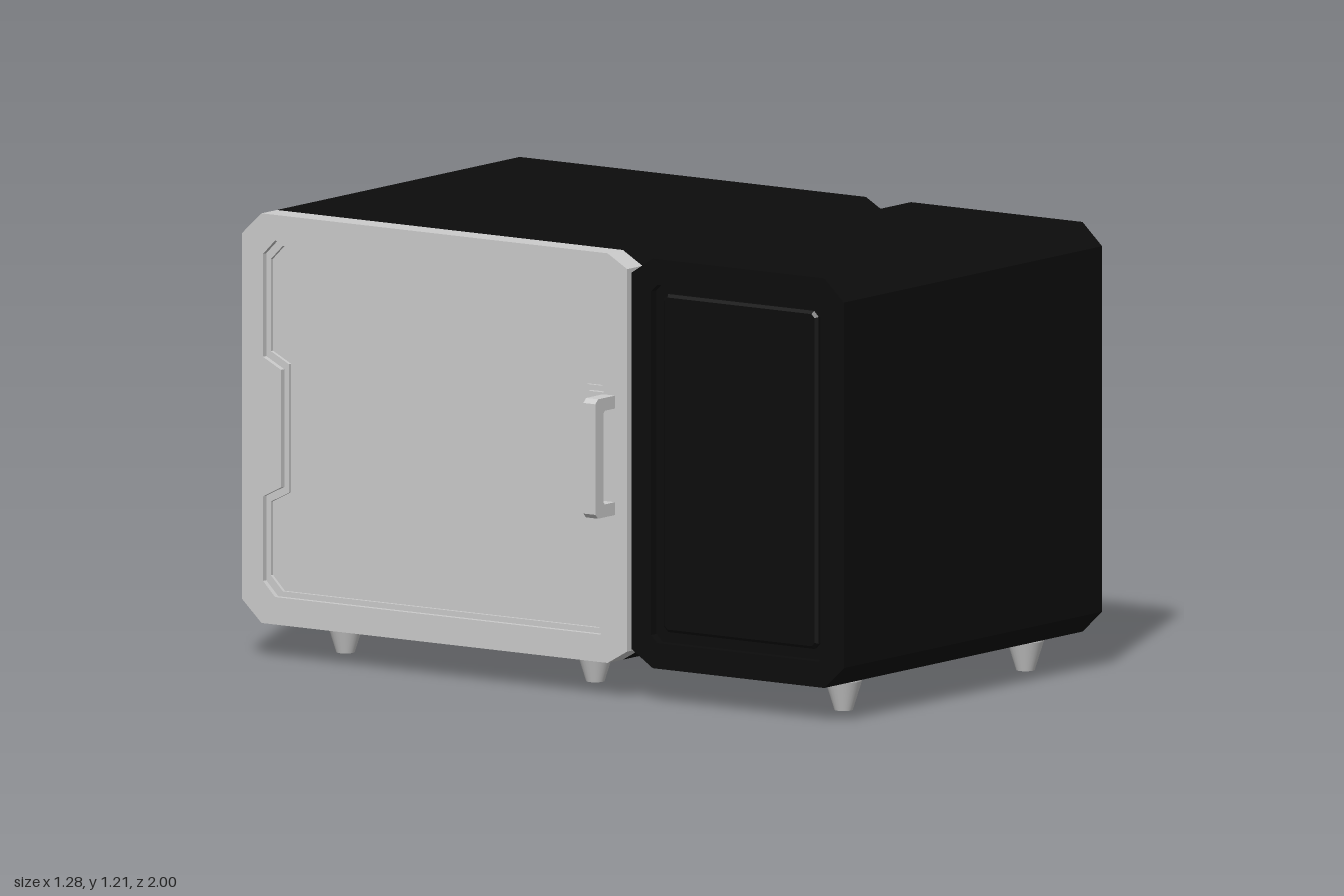
import * as THREE from 'three';

const black = new THREE.MeshStandardMaterial({ color: 0x0c0c0c, flatShading: true });
const grey = new THREE.MeshStandardMaterial({ color: 0xcccccc, flatShading: true });
const smoothGrey = new THREE.MeshStandardMaterial({ color: 0xcccccc });

const LOW = 0.095, HIGH = 1.21;

// Outlines are lists of [z, y]
const toPath = (pts, Type = THREE.Path) => new Type(pts.map(([z, y]) => new THREE.Vector2(z, y)));

const rect = (z0, z1, y0, y1, c = 0) => c === 0
  ? [[z0, y0], [z1, y0], [z1, y1], [z0, y1]]
  : [[z0 + c, y0], [z1 - c, y0], [z1, y0 + c], [z1, y1 - c],
    [z1 - c, y1], [z0 + c, y1], [z0, y1 - c], [z0, y0 + c]];

// Extrude a [z, y] outline along x from x0 to x1, with an optional bevel
function slab(pts, holes, x0, x1, bevel = 0) {
  const shape = toPath(pts, THREE.Shape);
  holes.forEach((h) => shape.holes.push(toPath(h)));
  const geo = new THREE.ExtrudeGeometry(shape, {
    depth: x1 - x0 - 2 * bevel, bevelEnabled: bevel > 0, bevelSize: bevel,
    bevelThickness: bevel, bevelOffset: -bevel, bevelSegments: 1, curveSegments: 4,
  });
  return geo.rotateY(-Math.PI / 2).translate(x1 - bevel, 0, 0);
}

export function createModel() {
  const model = new THREE.Group();
  const add = (name, geo, mat, parent = model) => {
    const mesh = new THREE.Mesh(geo, mat);
    mesh.name = name;
    parent.add(mesh);
    return mesh;
  };
  const group = (name) => {
    const g = new THREE.Group();
    g.name = name;
    model.add(g);
    return g;
  };

  // Side outlines of the two housings, meeting in a V groove
  const frontOutline = [[0.295, 0.14], [0.365, LOW], [0.935, LOW], [1, 0.155],
    [1, 1.15], [0.935, HIGH], [0.365, HIGH], [0.295, 1.165]];
  const rearOutline = [[-1, 0.155], [-0.935, LOW], [0.215, LOW], [0.295, 0.14],
    [0.295, 1.165], [0.215, HIGH], [-0.935, HIGH], [-1, 1.15]];
  const doorOutline = [[-1, 0.155], [-0.935, LOW], [0.215, LOW], [0.28, 0.132],
    [0.28, 1.173], [0.215, HIGH], [-0.935, HIGH], [-1, 1.15]];

  // Front housing with a recessed panel on each side
  const front = group('frontHousing');
  const frontHole = rect(0.36, 0.935, 0.165, 1.14, 0.02);
  const frontPanel = rect(0.39, 0.905, 0.195, 1.115, 0.015);
  add('frontCore', slab(frontOutline, [], -0.525, 0.605), black, front);
  add('frontRimLeft', slab(frontOutline, [frontHole], 0.605, 0.63), black, front);
  add('frontRimRight', slab(frontOutline, [frontHole], -0.55, -0.525), black, front);
  add('frontPanelLeft', slab(frontPanel, [], 0.59, 0.622, 0.008), black, front);
  add('frontPanelRight', slab(frontPanel, [], -0.542, -0.51, 0.008), black, front);

  // Rear housing with a raised, vented panel on its left side
  const rear = group('rearHousing');
  add('rearCore', slab(rearOutline, [], -0.48, 0.605), black, rear);
  add('rearRim', slab(rearOutline, [rect(-0.93, 0.22, 0.165, 1.14, 0.02)], 0.605, 0.63), black, rear);
  const ventZ = [-0.085, -0.26, -0.44, -0.62];
  const ventY = [0.285, 0.355];
  const slots = ventZ.flatMap((z) => ventY.map((y) => rect(z - 0.065, z + 0.065, y - 0.02, y + 0.02)));
  add('rearSidePanel', slab(rect(-0.9, 0.195, 0.19, 1.115, 0.015), slots, 0.595, 0.638, 0.008), black, rear);

  // Grey slats inside the side vents
  const sideVents = group('sideVents');
  for (const z of ventZ) for (const y of ventY) {
    add('sideVentSlat', new THREE.BoxGeometry(0.015, 0.014, 0.11).translate(0.608, y, z), grey, sideVents);
  }

  // Two columns of slats on the back
  const backVents = group('backVents');
  for (const x of [0.455, 0.325]) for (let i = 0; i < 6; i++) {
    add('backVentSlat', new THREE.BoxGeometry(0.09, 0.013, 0.01)
      .translate(x, 0.237 + i * 0.064, -0.998), grey, backVents);
  }

  // Door: slab plus a rim whose opening is notched by the hinge and handle mounts
  const door = group('door');
  const opening = (e) => [
    [-0.89 + e, 0.17 + e], [0.19 - e, 0.17 + e], [0.23 - e, 0.21 + e],
    [0.23 - e, 0.41 - e], [0.2 - e, 0.43 - e], [0.15 - e, 0.43 - e],
    [0.15 - e, 0.83 + e], [0.2 - e, 0.83 + e], [0.23 - e, 0.85 + e],
    [0.23 - e, 1.1 - e], [0.19 - e, 1.14 - e], [-0.89 + e, 1.14 - e], [-0.93 + e, 1.1 - e],
    [-0.93 + e, 0.82 + e], [-0.87 + e, 0.79 + e], [-0.87 + e, 0.47 - e], [-0.93 + e, 0.44 - e],
    [-0.93 + e, 0.21 + e]];
  add('doorSlab', slab(doorOutline, [], -0.525, -0.48), grey, door);
  add('doorRim', slab(doorOutline, [opening(0)], -0.55, -0.525), grey, door);
  add('doorInnerStep', slab(doorOutline.map(([z, y]) => [z * 0.98, 0.65 + (y - 0.65) * 0.98]),
    [opening(0.015)], -0.535, -0.515), grey, door);

  // Handle: a squared loop with chamfered outer corners
  const handle = new THREE.Shape([
    [-0.53, 0.5], [-0.628, 0.5], [-0.64, 0.512], [-0.64, 0.813], [-0.628, 0.825], [-0.53, 0.825],
    [-0.53, 0.79], [-0.597, 0.79], [-0.604, 0.783], [-0.604, 0.542], [-0.597, 0.535], [-0.53, 0.535],
  ].map(([x, y]) => new THREE.Vector2(x, y)));
  add('doorHandle', new THREE.ExtrudeGeometry(handle, { depth: 0.04, bevelEnabled: false })
    .translate(0, 0, 0.2), grey, door);

  // Six tapered feet
  const feet = group('feet');
  for (const x of [-0.338, 0.493]) for (const z of [0.845, 0.02, -0.81]) {
    add('foot', new THREE.CylinderGeometry(0.05, 0.025, 0.08, 24).translate(x, 0.04, z), smoothGrey, feet);
    add('footCollar', new THREE.CylinderGeometry(0.05, 0.05, 0.02, 24).translate(x, 0.09, z), smoothGrey, feet);
  }

  return model;
}
